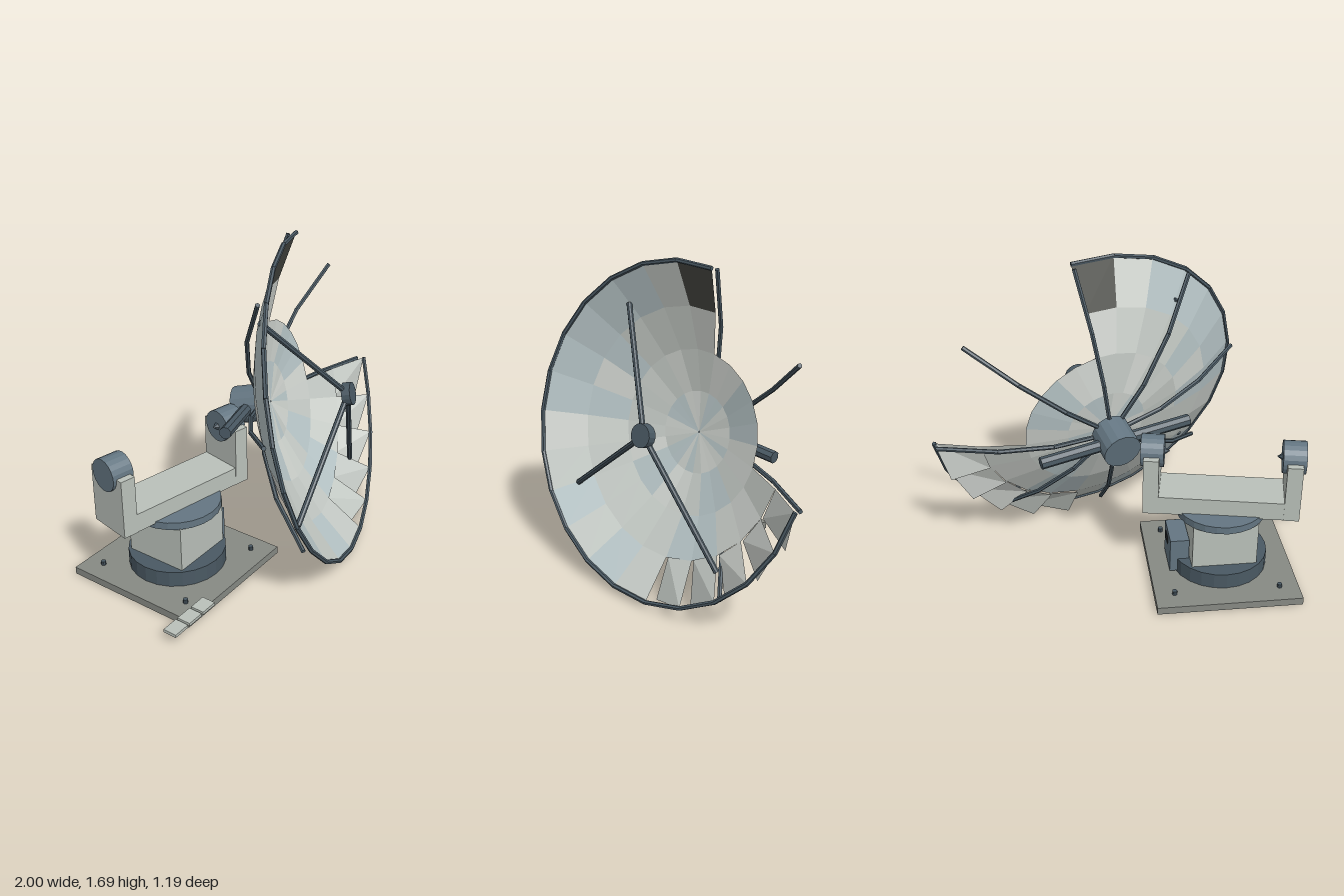
import * as THREE from 'three';

const V = (x, y, z) => new THREE.Vector3(x, y, z);
const mat = (color, extra = {}) => new THREE.MeshStandardMaterial({ color, flatShading: true, ...extra });
const slate = mat(0x647682), darkSlate = mat(0x4a5963), stone = mat(0xbac1ba), plate = mat(0x878a84), dark = mat(0x262b2e);
const panelMats = [0xcdd2cd, 0xc5cbc6, 0xb8c6c8, 0xd2d6d1, 0x4a4b45].map(c => mat(c, { side: THREE.DoubleSide }));

// Dish frame: apex on the dish axis, N out of the bowl, U and W across it
const R = 0.85, DEPTH = 0.3, SECTORS = 24, STEP = Math.PI * 2 / SECTORS, START = -5.3 * Math.PI / 180;
const N = V(0.307, 0.244, 0.92).normalize();
const U = V(1, 0, 0).addScaledVector(N, -N.x).normalize();
const W = N.clone().cross(U);
const APEX = V(0.18, 0.855, 0.257).addScaledVector(N, -DEPTH);

const onAxis = h => APEX.clone().addScaledVector(N, h);
const onDish = (r, a, lift = 0) => onAxis(DEPTH * (r / R) ** 2 + lift)
  .addScaledVector(U, r * Math.cos(a)).addScaledVector(W, r * Math.sin(a));

function add(parent, name, geo, material, x = 0, y = 0, z = 0) {
  const m = new THREE.Mesh(geo, material);
  m.name = name;
  m.position.set(x, y, z);
  parent.add(m);
  return m;
}
const box = (parent, name, material, w, h, d, x, y, z) =>
  add(parent, name, new THREE.BoxGeometry(w, h, d), material, x, y, z);
const disc = (parent, name, material, r, h, x, y, z, sides = 24) =>
  add(parent, name, new THREE.CylinderGeometry(r, r, h, sides), material, x, y, z);

// Round bar between two points
function bar(parent, name, material, a, b, r, sides = 8) {
  const d = b.clone().sub(a);
  const m = add(parent, name, new THREE.CylinderGeometry(r, r, d.length(), sides), material);
  m.position.copy(a).add(b).multiplyScalar(0.5);
  m.quaternion.setFromUnitVectors(V(0, 1, 0), d.normalize());
}
function barChain(parent, name, material, pts, r) {
  const g = new THREE.Group();
  g.name = name;
  for (let i = 1; i < pts.length; i++) bar(g, name + 'Segment', material, pts[i - 1], pts[i], r, 6);
  parent.add(g);
}

function quad(parent, name, material, a, b, c, d) {
  const geo = new THREE.BufferGeometry().setFromPoints([a, b, c, a, c, d]);
  geo.computeVertexNormals();
  add(parent, name, geo, material);
}

function buildPedestal(root) {
  const g = new THREE.Group();
  g.name = 'pedestal';
  g.position.set(-0.483, 0, -0.215);
  root.add(g);
  box(g, 'groundPlate', plate, 0.755, 0.04, 0.755, 0, 0.02, 0);
  for (const x of [-1, 1]) for (const z of [-1, 1]) disc(g, 'anchorBolt', darkSlate, 0.013, 0.025, x * 0.275, 0.05, z * 0.275, 8);
  disc(g, 'baseRing', darkSlate, 0.255, 0.085, 0, 0.0825, 0);
  box(g, 'column', stone, 0.34, 0.26, 0.34, 0, 0.245, 0);
  disc(g, 'turntable', slate, 0.237, 0.04, 0, 0.39, 0);
  box(g, 'controlBox', slate, 0.1, 0.19, 0.195, 0.225, 0.145, 0.003);
  box(g, 'controlWindow', dark, 0.01, 0.045, 0.065, 0.273, 0.18, 0.027);

  // Yoke with two arms, bearings and broken axle stubs
  const yoke = new THREE.Group();
  yoke.name = 'yoke';
  yoke.rotation.y = -11.5 * Math.PI / 180;
  g.add(yoke);
  box(yoke, 'yokeBeam', stone, 0.8, 0.1, 0.235, 0, 0.45, -0.01);
  for (const s of [-1, 1]) {
    box(yoke, 'yokeArm', stone, 0.08, 0.315, 0.24, s * 0.36, 0.5575, -0.01);
    disc(yoke, 'bearing', slate, 0.085, 0.118, s * 0.358, 0.71, -0.01, 20).rotation.z = Math.PI / 2;
    const stub = add(yoke, 'brokenStub', new THREE.ConeGeometry(0.022, 0.03, 6), darkSlate, s * 0.286, 0.71, -0.01);
    stub.rotation.z = s * Math.PI / 2;
  }
}

function buildDish(root) {
  const g = new THREE.Group();
  g.name = 'brokenDish';
  root.add(g);
  let seed = 7;
  const random = () => (seed = (seed * 16807) % 2147483647) / 2147483647;
  const radii = [0.004, 0.2125, 0.425, 0.6375, R];

  // Panels: a quarter of the two outer rings is missing
  for (let ring = 0; ring < 4; ring++) {
    for (let i = 0; i < SECTORS; i++) {
      const a = START + i * STEP, b = a + STEP;
      if (ring > 1 && i < 6) continue;
      // Loose outer panels next to the gap swing back at one side
      const loose = ring === 3 && i >= 19;
      const outer = loose ? -0.085 : 0, inner = loose ? -0.015 : 0;
      const torn = ring === 3 && i === 6;
      const m = panelMats[torn ? 4 : Math.floor(random() * 4)];
      quad(g, loose ? 'loosePanel' : 'dishPanel', m,
        onDish(radii[ring], a, inner), onDish(radii[ring + 1], a, outer),
        onDish(radii[ring + 1], b), onDish(radii[ring], b));
    }
  }

  // Rim, stopping at the gap
  const rim = [];
  for (let i = 6; i <= SECTORS; i++) rim.push(onDish(R, START + i * STEP));
  barChain(g, 'rim', darkSlate, rim, 0.012);

  // Eight ribs behind the panels, one bare
  for (let k = 0; k < 8; k++) {
    const pts = [0.05, 0.3, 0.57, R].map(r => onDish(r, START + k * Math.PI / 4, -0.042));
    barChain(g, 'rib', darkSlate, pts, 0.012);
  }

  // Feed on three struts
  const feed = onAxis(DEPTH + 0.125);
  bar(g, 'feed', darkSlate, onAxis(DEPTH + 0.105), onAxis(DEPTH + 0.15), 0.06, 16);
  for (const deg of [130, 220, 310])
    bar(g, 'feedStrut', darkSlate, feed, onDish(0.715, deg * Math.PI / 180, 0.005), 0.015);

  // Hub and tilt axle
  bar(g, 'hub', slate, onAxis(-0.192), onAxis(-0.027), 0.1, 16);
  const mid = onAxis(-0.11);
  bar(g, 'tiltAxle', darkSlate, mid.clone().addScaledVector(U, -0.41), mid.clone().addScaledVector(U, 0.41), 0.032);
}

export function createModel() {
  const root = new THREE.Group();
  root.name = 'brokenAntenna';
  buildPedestal(root);
  buildDish(root);
  // Row of step slabs beside the ground plate
  for (let i = 0; i < 3; i++) box(root, 'stepSlab', stone, 0.092, 0.016, 0.075, -0.954 + i * 0.104, 0.057, 0.16);
  return root;
}
